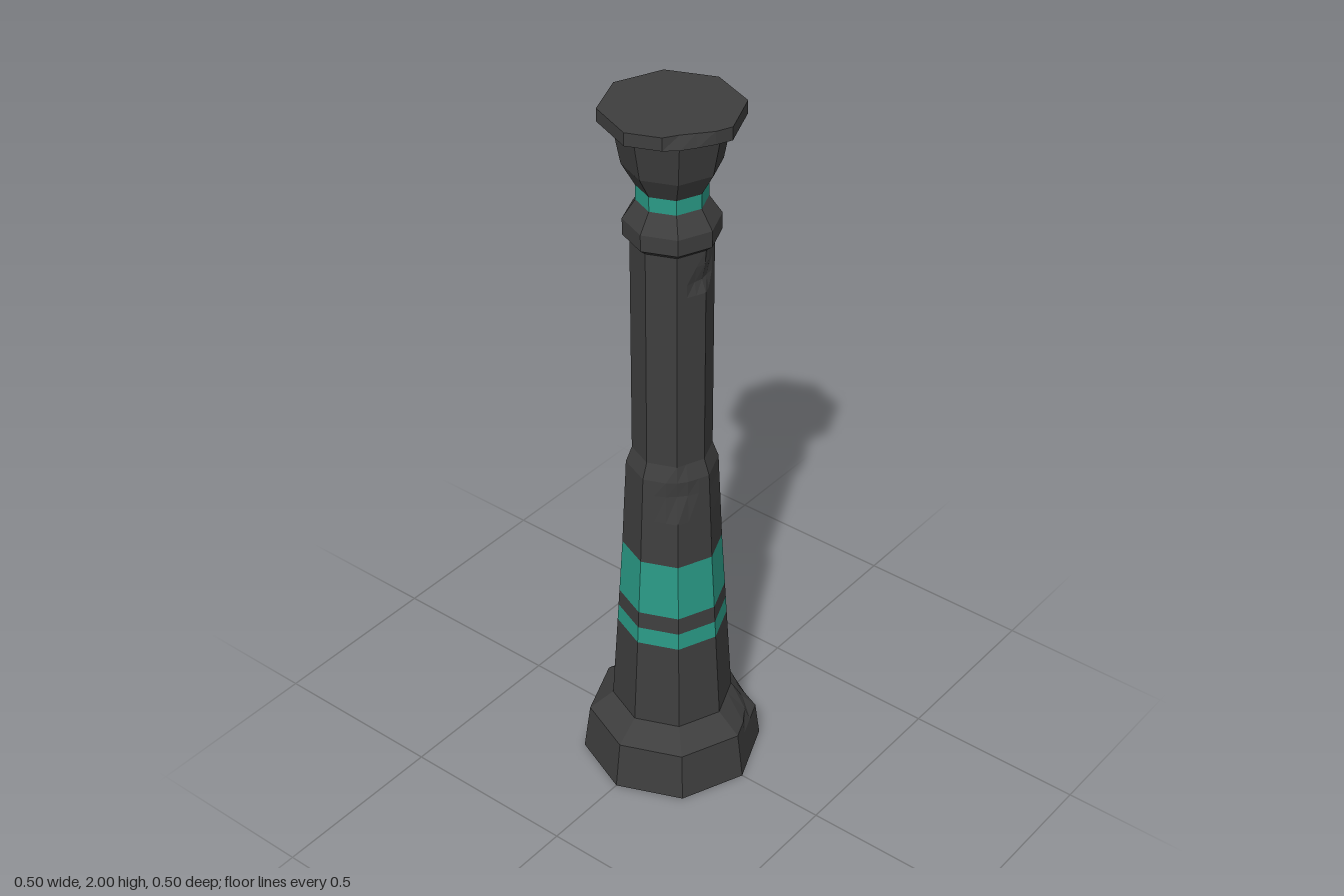
import * as THREE from 'three';

const SIDES = 8, SUB = 3, N = SIDES * SUB; // octagon, each side split in three so chips can be local

// Corner directions: k = 0 front (+z), 6 left (+x), 12 back, 18 right (-x)
function ringPoint(r, y, k, chips) {
  const side = Math.floor(k / SUB), t = (k % SUB) / SUB;
  const a = (side * 2 * Math.PI) / SIDES, b = ((side + 1) * 2 * Math.PI) / SIDES;
  const s = r * (chips && chips[k] !== undefined ? chips[k] : 1);
  return [
    s * (Math.sin(a) * (1 - t) + Math.sin(b) * t),
    y,
    s * (Math.cos(a) * (1 - t) + Math.cos(b) * t),
  ];
}

// Rings are [y, radius, chips]; chips maps a ring index to an inward scale
function loft(rings) {
  const pos = [];
  for (let i = 0; i < rings.length - 1; i++) {
    const [y0, r0, c0] = rings[i], [y1, r1, c1] = rings[i + 1];
    for (let k = 0; k < N; k++) {
      const n = (k + 1) % N;
      const a = ringPoint(r0, y0, k, c0), b = ringPoint(r0, y0, n, c0);
      const c = ringPoint(r1, y1, n, c1), d = ringPoint(r1, y1, k, c1);
      if (r0 > 0) pos.push(...a, ...b, ...c);
      if (r1 > 0) pos.push(...a, ...c, ...d);
    }
  }
  const g = new THREE.BufferGeometry();
  g.setAttribute('position', new THREE.Float32BufferAttribute(pos, 3));
  g.computeVertexNormals();
  return g;
}

export function createModel() {
  const group = new THREE.Group();
  const stone = new THREE.MeshStandardMaterial({ color: 0x3e3e3e, flatShading: true });
  const teal = new THREE.MeshStandardMaterial({ color: 0x2a9a86, flatShading: true });
  const add = (name, material, rings) => {
    const mesh = new THREE.Mesh(loft(rings), material);
    mesh.name = name;
    group.add(mesh);
  };

  // Foot with a chipped front left corner
  add('foot', stone, [
    [0, 0], [0, 0.248],
    [0.1, 0.235],
    [0.137, 0.23, { 2: 0.95, 3: 0.86, 4: 0.92, 5: 0.97 }],
    [0.19, 0.165],
  ]);

  // Tapered lower shaft and its painted bands
  add('lowerShaft', stone, [[0.19, 0.165], [0.45, 0.149]]);
  add('narrowBand', teal, [[0.45, 0.149], [0.5, 0.146]]);
  add('bandGap', stone, [[0.5, 0.146], [0.55, 0.143]]);
  add('wideBand', teal, [[0.55, 0.143], [0.715, 0.133]]);

  // Shoulder with a chip on the front right corner
  add('shoulder', stone, [
    [0.715, 0.133],
    [0.85, 0.127],
    [0.93, 0.123, { 20: 0.97, 21: 0.89, 22: 0.97 }],
    [0.975, 0.121, { 21: 0.93 }],
    [1.02, 0.105],
  ]);

  // Upper shaft with one notch at the back and one at the front
  add('upperShaft', stone, [
    [1.02, 0.105],
    [1.085, 0.105],
    [1.12, 0.105, { 11: 0.89, 12: 0.8, 13: 0.89 }],
    [1.19, 0.105],
    [1.52, 0.105],
    [1.555, 0.105, { 23: 0.93, 0: 0.88, 1: 0.93 }],
    [1.6, 0.105, { 0: 0.97 }],
    [1.64, 0.105],
  ]);

  // Collar, neck band and flared capital
  add('collar', stone, [[1.64, 0.105], [1.655, 0.123], [1.7, 0.123], [1.75, 0.09]]);
  add('neckBand', teal, [[1.75, 0.09], [1.79, 0.09]]);
  add('capital', stone, [[1.79, 0.09], [1.85, 0.124], [1.965, 0.146]]);

  // Top slab with a broken front right corner
  add('topSlab', stone, [
    [1.965, 0],
    [1.965, 0.18, { 21: 0.91, 22: 0.96 }],
    [2, 0.18, { 21: 0.85, 22: 0.92 }],
    [2, 0],
  ]);

  return group;
}
